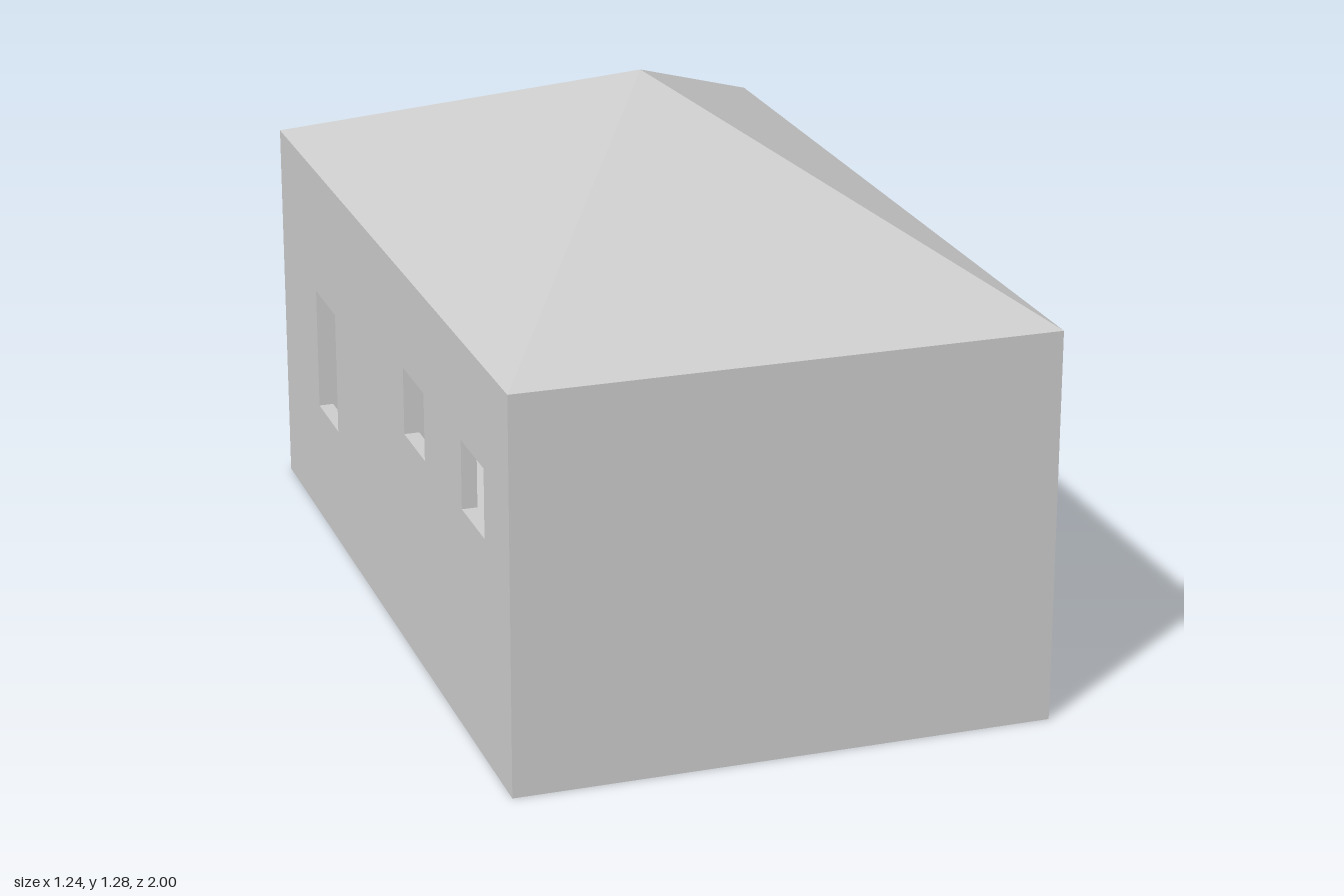
import * as THREE from 'three';

const W = 0.618, L = 1;          // half width (x) and half length (z)
const WALL_H = 0.8, EAVE = 0.91, APEX = 1.277, T = 0.035;

export function createModel() {
  const house = new THREE.Group();
  house.name = 'house';
  const material = new THREE.MeshStandardMaterial({ color: 0xcccccc, flatShading: true });

  function add(name, geometry, x, y, z) {
    const mesh = new THREE.Mesh(geometry, material);
    mesh.name = name;
    mesh.position.set(x, y, z);
    house.add(mesh);
    return mesh;
  }

  // Long wall with window openings given as [z0, z1, y0, y1]
  function sideWall(name, outerX, windows) {
    const shape = new THREE.Shape([[-L, 0], [L, 0], [L, WALL_H], [-L, WALL_H]].map(p => new THREE.Vector2(...p)));
    for (const [z0, z1, y0, y1] of windows) {
      shape.holes.push(new THREE.Path([[z0, y0], [z0, y1], [z1, y1], [z1, y0]].map(p => new THREE.Vector2(...p))));
    }
    const geometry = new THREE.ExtrudeGeometry(shape, { depth: T, bevelEnabled: false });
    geometry.rotateY(-Math.PI / 2); // shape x becomes z, depth runs towards -x
    add(name, geometry, outerX, 0, 0);
  }
  sideWall('leftWall', W, [[0.51, 0.61, 0.655, 0.725]]);
  sideWall('rightWall', -W + T, [
    [-0.66, -0.47, 0.295, 0.595],
    [0.165, 0.34, 0.52, 0.68],
    [0.64, 0.815, 0.52, 0.68],
  ]);

  // Plain end walls fitted between the side walls
  const innerW = 2 * (W - T);
  for (const [name, s] of [['frontWall', 1], ['backWall', -1]]) {
    add(name, new THREE.BoxGeometry(innerW, WALL_H, T), 0, WALL_H / 2, s * (L - T / 2));
  }

  // Floor slab inside the walls
  add('floor', new THREE.BoxGeometry(innerW, T, 2 * (L - T)), 0, T / 2, 0);

  // Roof: a straight band at the eaves and a four-sided pyramid
  add('roofBand', new THREE.BoxGeometry(2 * W, EAVE - WALL_H, 2 * L), 0, (WALL_H + EAVE) / 2, 0);
  const roof = new THREE.ConeGeometry(Math.SQRT2, APEX - EAVE, 4, 1, true);
  roof.rotateY(Math.PI / 4);
  roof.scale(W, 1, L);
  add('roof', roof, 0, (EAVE + APEX) / 2, 0);

  return house;
}
